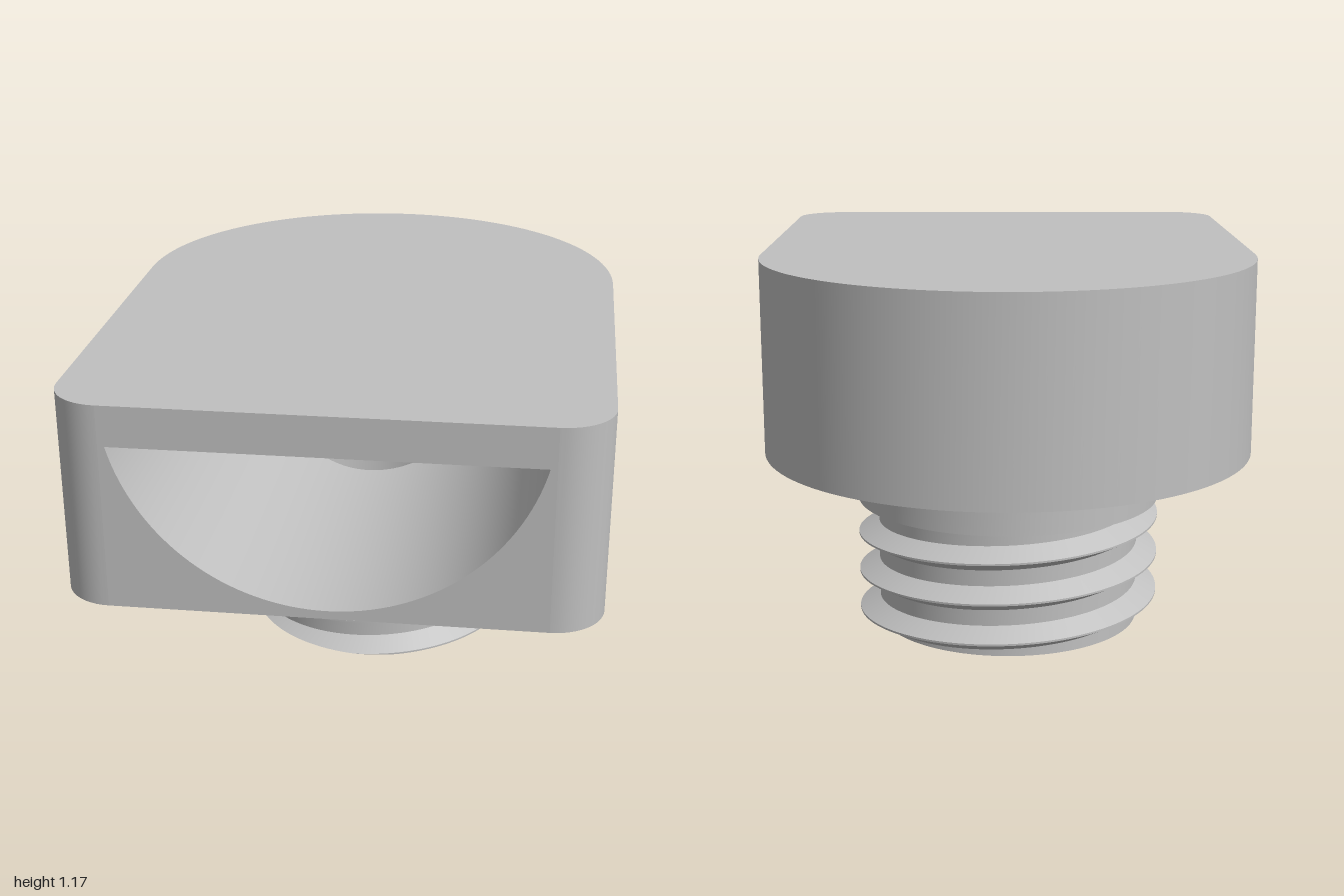
import * as THREE from 'three';
import { toCreasedNormals } from 'three/addons/utils/BufferGeometryUtils.js';

const TAU = Math.PI * 2;
const ZC = -0.23;                         // axis of the stem and the rounded back
const HALF = 0.77, BOTTOM = 0.56, TOP = 1.17;
const CORNER = 0.15;
const SCOOP_R = 0.62, SCOOP_Y = 1.205, CEILING = 1.05;
const BORE = 0.276, SOCKET = 0.34, STEM = 0.48, ROOT = 0.415;
const COLLAR = 0.4, PITCH = 0.126, THREAD_HALF = 0.038, CREST = 0.003;

// Surface from f(u, v) -> [x, y, z]; it faces along du x dv
function grid(f, nu, nv) {
  const pos = [], index = [];
  for (let j = 0; j <= nv; j++)
    for (let i = 0; i <= nu; i++) pos.push(...f(i / nu, j / nv));
  for (let j = 0; j < nv; j++)
    for (let i = 0; i < nu; i++) {
      const a = j * (nu + 1) + i, d = a + nu + 1;
      index.push(a, a + 1, d + 1, a, d + 1, d);
    }
  const g = new THREE.BufferGeometry();
  g.setAttribute('position', new THREE.Float32BufferAttribute(pos, 3));
  g.setIndex(index);
  return toCreasedNormals(g, 0.45);
}

const polar = (t, r, y) => [r * Math.sin(t), y, ZC + r * Math.cos(t)];
// Band round the stem axis from (r0, y0) to (r1, y1); each may depend on the angle
const band = (r0, y0, r1, y1) => grid((u, v) => {
  const t = u * TAU, at = (q) => (typeof q === 'function' ? q(t) : q);
  return polar(t, at(r0) + (at(r1) - at(r0)) * v, at(y0) + (at(y1) - at(y0)) * v);
}, 96, 1);

// Horizontal plate from [x, z] points, facing up or down
function plate(points, y, up, hole) {
  const s = up ? -1 : 1;
  const vec = (p) => new THREE.Vector2(p[0], p[1] * s);
  const shape = new THREE.Shape(points.map(vec));
  if (hole) shape.holes.push(new THREE.Path(hole.map(vec)));
  return new THREE.ShapeGeometry(shape).rotateX(s * Math.PI / 2).translate(0, y, 0);
}

const arc = (cx, cz, r, t0, t1, n) => Array.from({ length: n + 1 }, (_, i) => {
  const t = t0 + (t1 - t0) * i / n;
  return [cx + r * Math.sin(t), cz + r * Math.cos(t)];
});

// Height of the scoop floor at x
const floorY = (x) => SCOOP_Y - Math.sqrt(SCOOP_R ** 2 - x * x);

// Thread radius at an angle and height
const crestY = (t) => 0.25 + PITCH * t / TAU;
function threadR(t, y) {
  let d = (y - crestY(t)) / PITCH;
  d = Math.abs(d - Math.round(d)) * PITCH;
  const k = THREE.MathUtils.clamp((THREAD_HALF - d) / (THREAD_HALF - CREST), 0, 1);
  return ROOT + (STEM - ROOT) * k;
}

export function createModel() {
  const group = new THREE.Group();
  const grey = new THREE.MeshStandardMaterial({ color: 0xc0c0c0, side: THREE.DoubleSide });
  grey.name = 'plain grey';
  const add = (name, geometry) => {
    const m = new THREE.Mesh(geometry, grey);
    m.name = name;
    group.add(m);
  };

  // Body outline: right-front corner, round back, left-front corner
  const c = HALF - CORNER;
  const outline = [
    ...arc(c, 1 - CORNER, CORNER, 0, Math.PI / 2, 12),
    ...arc(0, ZC, HALF, Math.PI / 2, Math.PI * 1.5, 64),
    ...arc(-c, 1 - CORNER, CORNER, Math.PI * 1.5, TAU, 12),
  ];
  add('bodyWall', grid((u, v) => {
    const p = outline[Math.round(u * (outline.length - 1))];
    return [p[0], BOTTOM + (TOP - BOTTOM) * v, p[1]];
  }, outline.length - 1, 1));
  add('bodyTop', plate(outline, TOP, true));
  add('bodyUnderside', plate(outline, BOTTOM, false, arc(0, ZC, STEM, 0, TAU, 96).slice(0, -1)));

  // Front face with the scoop opening
  const edge = Math.sqrt(SCOOP_R ** 2 - (SCOOP_Y - CEILING) ** 2);
  const half = Math.asin(edge / SCOOP_R);
  const face = new THREE.Shape([[-c, BOTTOM], [c, BOTTOM], [c, TOP], [-c, TOP]]
    .map((p) => new THREE.Vector2(...p)));
  face.holes.push(new THREE.Path(Array.from({ length: 65 }, (_, i) => {
    const x = SCOOP_R * Math.sin(half * (i / 32 - 1));
    return new THREE.Vector2(x, floorY(x));
  })));
  add('bodyFront', new THREE.ShapeGeometry(face).translate(0, 0, 1));

  // Scoop: round channel, spherical back end and flat ceiling
  add('scoopChannel', grid((u, v) => {
    const x = SCOOP_R * Math.sin(half * (u * 2 - 1));
    const end = ZC + Math.sqrt(Math.max(0, BORE ** 2 - x * x));
    return [x, floorY(x), 1 + (end - 1) * v];
  }, 96, 4));
  const inner = Math.asin(BORE / SCOOP_R);
  add('scoopBack', grid((u, v) => {
    const a = half + (inner - half) * v;
    return polar(Math.PI * (0.5 + u), SCOOP_R * Math.sin(a), SCOOP_Y - SCOOP_R * Math.cos(a));
  }, 64, 20));
  add('scoopCeiling', plate(
    [[-edge, 1], [edge, 1], ...arc(0, ZC, edge, Math.PI / 2, Math.PI * 1.5, 64)], CEILING, false));

  // Stepped bore
  const boreTop = (t) => floorY(Math.cos(t) > 0 ? BORE * Math.sin(t) : BORE);
  add('upperBore', band(BORE, boreTop, BORE, COLLAR));
  add('boreStep', band(BORE, COLLAR, SOCKET, COLLAR));
  add('lowerBore', band(SOCKET, COLLAR, SOCKET, 0));

  // Collar and threaded stem, with the helix trimmed flat at both ends
  add('collar', band(STEM, COLLAR, STEM, BOTTOM));
  add('collarLedge', band((t) => threadR(t, COLLAR), COLLAR, STEM, COLLAR));
  const offsets = [-THREAD_HALF, -CREST, CREST, THREAD_HALF], turns = 7;
  const rows = offsets.length * turns - 1;
  add('thread', grid((u, v) => {
    const t = u * TAU, k = Math.round(v * rows);
    const raw = crestY(t) + PITCH * (Math.floor(k / 4) - 4) + offsets[k % 4];
    const y = THREE.MathUtils.clamp(raw, 0, COLLAR);
    return polar(t, threadR(t, y), y);
  }, 128, rows));
  add('stemEnd', band(SOCKET, 0, (t) => threadR(t, 0), 0));

  return group;
}
